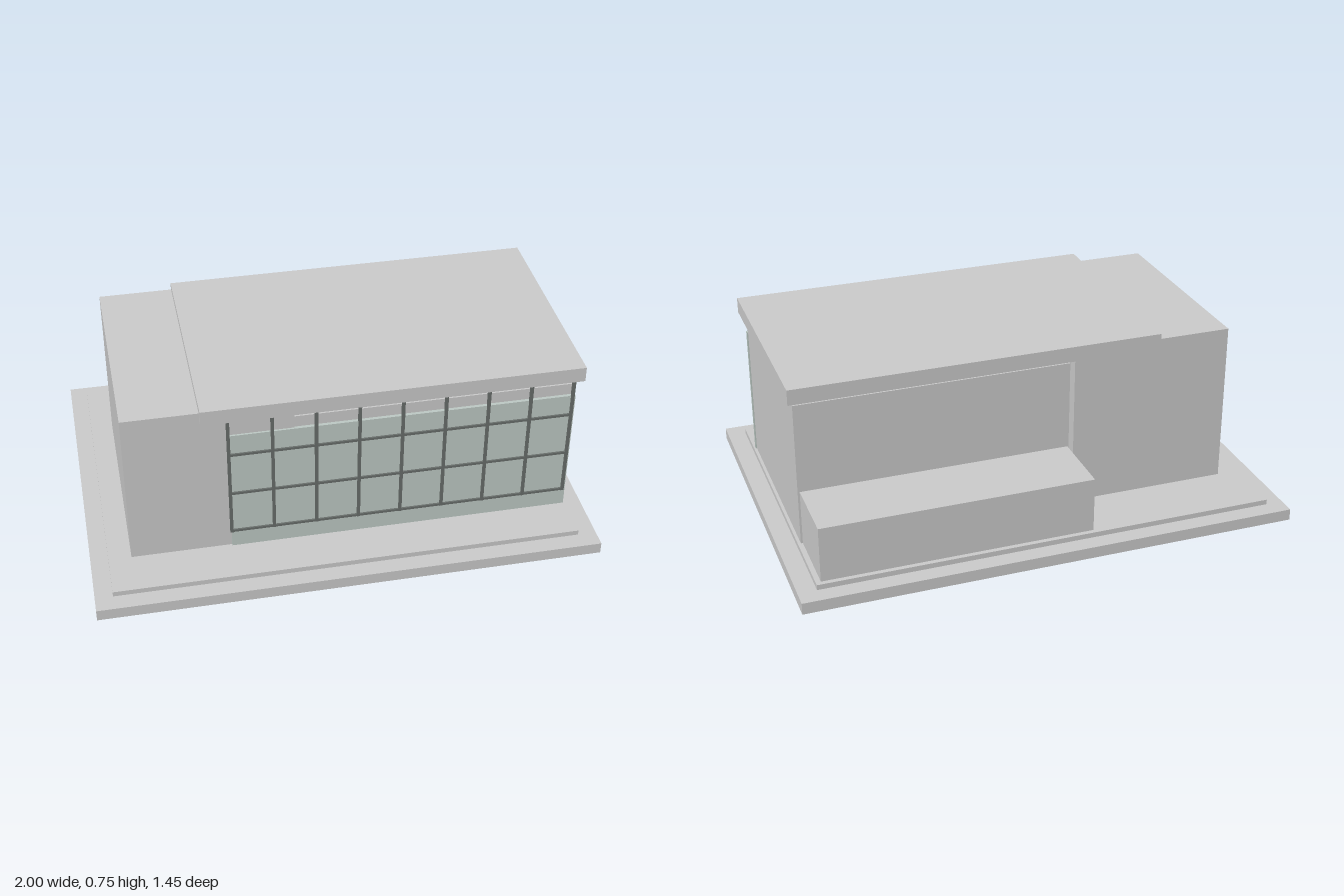
import * as THREE from 'three';

const grey = new THREE.MeshStandardMaterial({ color: 0xcccccc });
const glassTint = new THREE.MeshStandardMaterial({ color: 0xbecac5 });
const frameDark = new THREE.MeshStandardMaterial({ color: 0x686e6b });

// Box given by its extents along each axis
function block(name, [x0, x1], [y0, y1], [z0, z1], material = grey) {
  const mesh = new THREE.Mesh(new THREE.BoxGeometry(x1 - x0, y1 - y0, z1 - z0), material);
  mesh.position.set((x0 + x1) / 2, (y0 + y1) / 2, (z0 + z1) / 2);
  mesh.name = name;
  return mesh;
}

// Grid of mullions and rails in front of the glass
function createWindowFrame() {
  const frame = new THREE.Group();
  frame.name = 'windowFrame';
  const left = -0.442, right = 0.906, bays = 8, half = 0.006;
  const depth = [0.474, 0.487];
  for (let i = 0; i <= bays; i++) {
    const x = left + ((right - left) * i) / bays;
    frame.add(block('mullion', [x - half, x + half], [0.143, 0.69], depth, frameDark));
  }
  for (const y of [0.148, 0.335, 0.522]) {
    frame.add(block('rail', [left, right], [y - 0.005, y + 0.005], [0.475, 0.485], frameDark));
  }
  return frame;
}

export function createModel() {
  const model = new THREE.Group();
  model.name = 'pavilion';
  model.add(
    // Stepped base
    block('groundSlab', [-1, 1], [0, 0.047], [-0.725, 0.725]),
    block('plinth', [-0.93, 0.926], [0.047, 0.068], [-0.656, 0.656]),
    // Volumes
    block('sideWing', [-0.84, -0.187], [0.068, 0.727], [-0.4, 0.47]),
    block('mainHall', [-0.187, 0.914], [0.068, 0.658], [-0.352, 0.465]),
    block('rearAnnex', [-0.182, 0.906], [0.068, 0.293], [-0.637, -0.352]),
    block('roofSlab', [-0.545, 0.942], [0.69, 0.752], [-0.408, 0.5]),
    // Glazed front
    block('glassFront', [-0.442, 0.919], [0.068, 0.61], [0.462, 0.478], glassTint),
    createWindowFrame()
  );
  return model;
}
